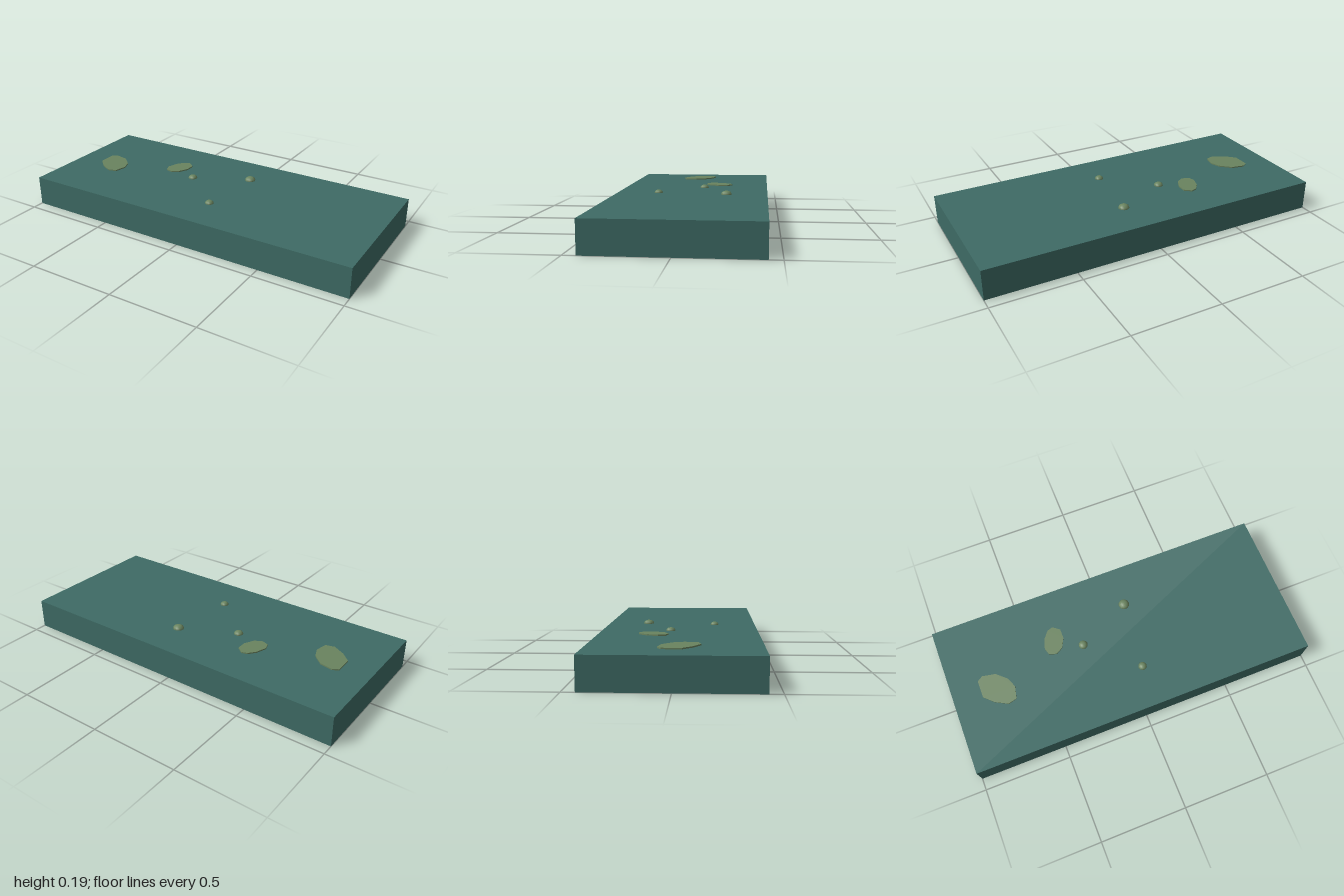
import * as THREE from 'three';

export function createModel() {
  const group = new THREE.Group();
  const teal = new THREE.MeshStandardMaterial({ color: 0x3e6b65 });
  teal.name = 'deep teal';
  const moss = new THREE.MeshStandardMaterial({ color: 0x6a845f });
  moss.name = 'moss green';
  const top = 0.171;

  const add = (name, geometry, material, x = 0, y = 0, z = 0) => {
    const mesh = new THREE.Mesh(geometry, material);
    mesh.name = name;
    mesh.position.set(x, y, z);
    group.add(mesh);
    return mesh;
  };

  // Main slab
  add('slab', new THREE.BoxGeometry(2, top, 0.866), teal, 0, top / 2, 0);

  // Thin irregular patches, outlined as [x, z]
  const patches = {
    largePatch: [[-0.837, -0.06], [-0.805, -0.08], [-0.73, -0.065], [-0.672, -0.012],
      [-0.65, 0.045], [-0.665, 0.115], [-0.715, 0.128], [-0.785, 0.09], [-0.837, 0.04]],
    smallPatch: [[-0.335, -0.215], [-0.297, -0.185], [-0.297, -0.13], [-0.325, -0.075],
      [-0.365, -0.052], [-0.408, -0.065], [-0.42, -0.105], [-0.4, -0.165], [-0.368, -0.205]],
  };
  for (const [name, outline] of Object.entries(patches)) {
    const shape = new THREE.Shape(outline.map(([x, z]) => new THREE.Vector2(x, -z)));
    const geometry = new THREE.ExtrudeGeometry(shape, { depth: 0.007, bevelEnabled: false });
    add(name, geometry.rotateX(-Math.PI / 2), moss, 0, top, 0);
  }

  // Flattened pebble domes: x, z, radius, height
  const pebbles = [
    [0.107, -0.2, 0.032, 0.022],
    [-0.205, -0.05, 0.027, 0.019],
    [0.065, 0.195, 0.025, 0.018],
  ];
  pebbles.forEach(([x, z, radius, height], i) => {
    const dome = new THREE.SphereGeometry(1, 10, 3, 0, Math.PI * 2, 0, Math.PI / 2);
    add('pebble' + (i + 1), dome, moss, x, top, z).scale.set(radius, height, radius);
  });

  return group;
}
